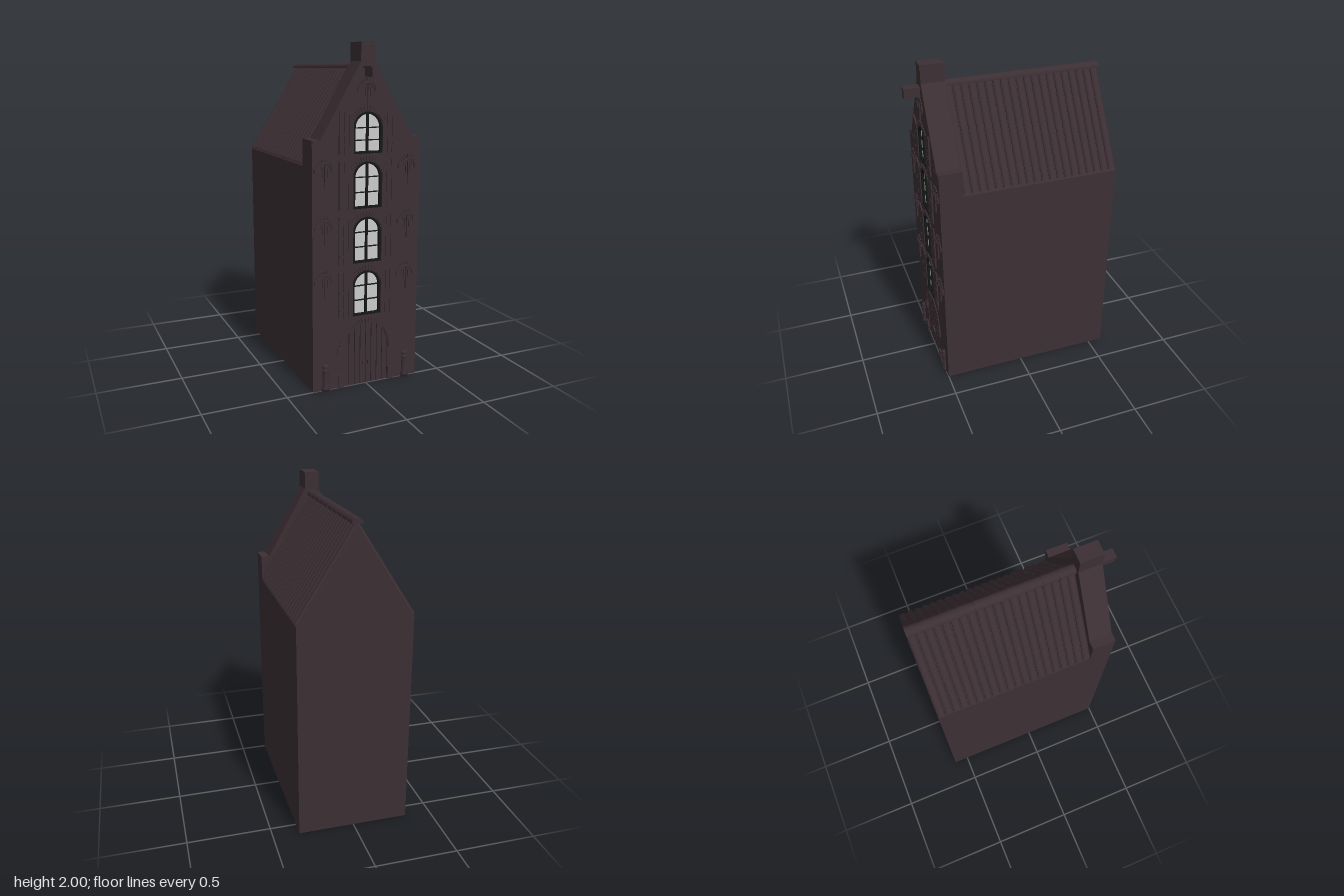
import * as THREE from 'three';
import { mergeGeometries } from 'three/addons/utils/BufferGeometryUtils.js';

const brick = new THREE.MeshStandardMaterial({ color: 0x3c2f34 });
const dark = new THREE.MeshStandardMaterial({ color: 0x141816 });
const glass = new THREE.MeshStandardMaterial({ color: 0xcccccc });
const FRONT = 0.5, BACK = -0.592, GABLE = 0.36;

function add(parent, name, geo, mat = brick, x = 0, y = 0, z = 0) {
  const m = new THREE.Mesh(geo, mat);
  m.name = name;
  m.position.set(x, y, z);
  parent.add(m);
  return m;
}
function box(parent, name, w, h, d, x, y, z, mat = brick) {
  return add(parent, name, new THREE.BoxGeometry(w, h, d), mat, x, y, z);
}
const extrude = (shape, depth) =>
  new THREE.ExtrudeGeometry(shape, { depth, bevelEnabled: false, curveSegments: 12 });
const polygon = (pts) => new THREE.Shape(pts.map((p) => new THREE.Vector2(p[0], p[1])));

// Round-headed outline, half width r
function arch(r, bottom, spring) {
  const s = new THREE.Shape();
  s.moveTo(-r, bottom);
  s.lineTo(r, bottom);
  s.lineTo(r, spring);
  s.absarc(0, spring, r, 0, Math.PI, false);
  s.lineTo(-r, bottom);
  return s;
}

// Fan of bricks around an arch
function voussoirs(parent, cx, cy, r, len, count, from, depth) {
  const width = ((Math.PI - 2 * from) * r / count) * 0.85;
  const parts = [];
  for (let i = 0; i < count; i++) {
    const a = from + (Math.PI - 2 * from) * (i + 0.5) / count;
    const g = new THREE.BoxGeometry(len, width, depth);
    g.translate(r + len / 2, 0, 0).rotateZ(a).translate(cx, cy, FRONT + depth / 2 - 0.002);
    parts.push(g);
  }
  add(parent, 'archBricks', mergeGeometries(parts));
}

function windowUnit(bottom, top) {
  const g = new THREE.Group();
  g.name = 'window';
  const r = 0.09, spring = top - r;
  const frame = arch(r, bottom, spring);
  frame.holes.push(arch(r - 0.013, bottom + 0.013, spring));
  add(g, 'windowFrame', extrude(frame, 0.022), dark, 0, 0, 0.481);
  add(g, 'glass', extrude(arch(r - 0.005, bottom + 0.005, spring), 0.004), glass, 0, 0, 0.484);
  box(g, 'mullion', 0.014, top - bottom - 0.01, 0.012, 0, (top + bottom) / 2, 0.492, dark);
  for (const y of [spring, (spring + bottom) / 2 + 0.003]) {
    box(g, 'glazingBar', 2 * r - 0.02, 0.006, 0.01, 0, y, 0.491, dark);
  }
  voussoirs(g, 0, spring, r + 0.005, 0.028, 15, 0.3, 0.009);

  // Open shutters: three planks each, rising outward like half of the arch
  const plank = 0.03;
  for (const side of [-1, 1]) {
    for (let i = 0; i < 3; i++) {
      const a = r + i * plank + 0.001, b = a + plank - 0.002;
      const h = (x) => spring + 0.01 + Math.sqrt(Math.max(0, r * r - (2 * r - x) ** 2));
      const pts = [[a, bottom], [b, bottom], [b, h(b)], [(a + b) / 2, h((a + b) / 2)], [a, h(a)]];
      const s = polygon(side > 0 ? pts : pts.map(([x, y]) => [-x, y]).reverse());
      add(g, 'shutterPlank', extrude(s, 0.01), brick, 0, 0, FRONT - 0.001);
    }
    for (const y of [bottom + 0.05, spring - 0.03]) {
      box(g, 'shutterHinge', 0.025, 0.014, 0.004, side * 0.163, y, FRONT + 0.01);
    }
  }
  return g;
}

// Small brick hood with a forked wall anchor under it
function anchor(x, y) {
  const g = new THREE.Group();
  g.name = 'wallAnchor';
  voussoirs(g, 0, 0, 0.04, 0.018, 9, 0.1, 0.009);
  for (const s of [-1, 1]) {
    box(g, 'impost', 0.028, 0.025, 0.01, s * 0.053, -0.008, FRONT + 0.004);
    box(g, 'anchorProng', 0.006, 0.05, 0.008, s * 0.014, -0.02, FRONT + 0.003);
  }
  box(g, 'anchorBar', 0.009, 0.13, 0.01, 0, -0.045, FRONT + 0.004);
  add(g, 'anchorBow', new THREE.TorusGeometry(0.028, 0.004, 6, 12, Math.PI), brick, 0, 0, FRONT + 0.002);
  g.position.set(x, y, 0);
  return g;
}

function door() {
  const g = new THREE.Group();
  g.name = 'door';
  const r = 0.145, spring = 0.235;
  add(g, 'doorLeaf', extrude(arch(r, 0, spring), 0.05), brick, 0, 0, 0.436);
  const n = 8, w = 2 * r / n;
  for (let i = 0; i < n; i++) {
    const a = -r + i * w + 0.002, b = a + w - 0.004;
    const h = (x) => spring + Math.sqrt(Math.max(0, r * r - x * x));
    const pts = [[a, 0], [b, 0], [b, h(b)], [a, h(a)]];
    add(g, 'doorPlank', extrude(polygon(pts), 0.012), brick, 0, 0, 0.484);
  }
  voussoirs(g, 0, spring, r + 0.004, 0.028, 23, 0.08, 0.009);
  for (const s of [-1, 1]) {
    box(g, 'impost', 0.038, 0.04, 0.012, s * 0.166, 0.225, FRONT + 0.004);
    box(g, 'jambFoot', 0.036, 0.075, 0.012, s * 0.164, 0.0375, FRONT + 0.004);
    box(g, 'doorHandle', 0.008, 0.025, 0.012, s * 0.016, 0.13, 0.501);
  }
  return g;
}

// Barrel tiles on both slopes, with a row of ridge caps
function roof() {
  const g = new THREE.Group();
  g.name = 'roof';
  const depth = GABLE - BACK, columns = 20, rows = 13, pitch = depth / columns;
  const eave = new THREE.Vector3(0.34, 1.315, 0), apex = new THREE.Vector3(0, 1.85, 0);
  const up = apex.clone().sub(eave), length = up.length();
  up.normalize();
  const normal = new THREE.Vector3(up.y, -up.x, 0);
  const basis = new THREE.Matrix4().makeBasis(new THREE.Vector3(0, 0, -1), up, normal);
  const step = (length - 0.016) / rows;
  const tile = new THREE.CylinderGeometry(pitch * 0.42, pitch * 0.5, step * 1.1, 8, 1, false, -Math.PI / 2, Math.PI);
  tile.scale(1, 1, 0.72).rotateX(0.06).applyMatrix4(basis);
  const tiles = [];
  for (let i = 0; i < rows; i++) {
    const p = eave.clone().addScaledVector(up, 0.016 + (i + 0.5) * step);
    for (let j = 0; j < columns; j++) {
      tiles.push(tile.clone().translate(p.x, p.y, -depth / 2 + (j + 0.5) * pitch));
    }
  }
  const slope = mergeGeometries(tiles);
  add(g, 'rightSlopeTiles', slope).rotation.y = Math.PI;
  add(g, 'leftSlopeTiles', slope);

  const capLength = depth / 10;
  const cap = new THREE.CylinderGeometry(0.03, 0.033, capLength, 12, 1, false, Math.PI / 2, Math.PI);
  cap.rotateX(Math.PI / 2);
  for (let i = 0; i < 10; i++) {
    add(g, 'ridgeCap', cap, brick, 0, 1.858, -depth / 2 + (i + 0.5) * capLength);
  }
  g.position.z = (GABLE + BACK) / 2;
  return g;
}

export function createModel() {
  const house = new THREE.Group();
  house.name = 'canalHouse';

  const body = polygon([[-0.34, 0], [0.34, 0], [0.34, 1.315], [0, 1.85], [-0.34, 1.315]]);
  add(house, 'body', extrude(body, GABLE - BACK), brick, 0, 0, BACK);

  // Gabled front wall with openings
  const wall = polygon([
    [-0.34, 0], [-0.145, 0], [-0.145, 0.235],
    ...Array.from({ length: 17 }, (_, i) => {
      const a = Math.PI * (1 - (i + 1) / 18);
      return [0.145 * Math.cos(a), 0.235 + 0.145 * Math.sin(a)];
    }),
    [0.145, 0.235], [0.145, 0], [0.34, 0], [0.34, 1.47], [0.29, 1.47], [0.045, 1.895],
    [0.045, 2], [-0.045, 2], [-0.045, 1.895], [-0.29, 1.47], [-0.34, 1.47],
  ]);
  const floors = [[0.43, 0.7], [0.75, 1.02], [1.07, 1.34], [1.385, 1.62]];
  for (const [bottom, top] of floors) {
    wall.holes.push(arch(0.089, bottom, top - 0.09));
    house.add(windowUnit(bottom, top));
  }
  add(house, 'frontWall', extrude(wall, FRONT - GABLE), brick, 0, 0, GABLE);
  house.add(door(), roof());

  for (const y of [0.67, 0.985, 1.31]) {
    for (const s of [-1, 1]) house.add(anchor(s * 0.262, y));
  }
  house.add(anchor(0, 1.75));

  // Shoulder strips and chimney cap line
  for (const s of [-1, 1]) box(house, 'shoulderStrip', 0.1, 0.014, 0.006, s * 0.288, 1.457, FRONT);
  box(house, 'chimneyBand', 0.09, 0.02, 0.004, 0, 1.985, FRONT);

  // Hoisting beam
  box(house, 'hoistBeam', 0.044, 0.05, 0.1, 0, 1.836, 0.543);
  box(house, 'hoistBeamCover', 0.06, 0.012, 0.1, 0, 1.863, 0.545);

  // Bollards beside the door
  const profile = [[0, 0], [0.024, 0], [0.024, 0.02], [0.019, 0.025], [0.017, 0.115], [0.022, 0.12],
    [0.022, 0.13], [0.013, 0.134], [0.02, 0.146], [0.016, 0.158], [0, 0.164]];
  const bollard = new THREE.LatheGeometry(profile.map(([x, y]) => new THREE.Vector2(x, y)), 16);
  for (const s of [-1, 1]) add(house, 'bollard', bollard, brick, s * 0.262, 0, FRONT);

  return house;
}
